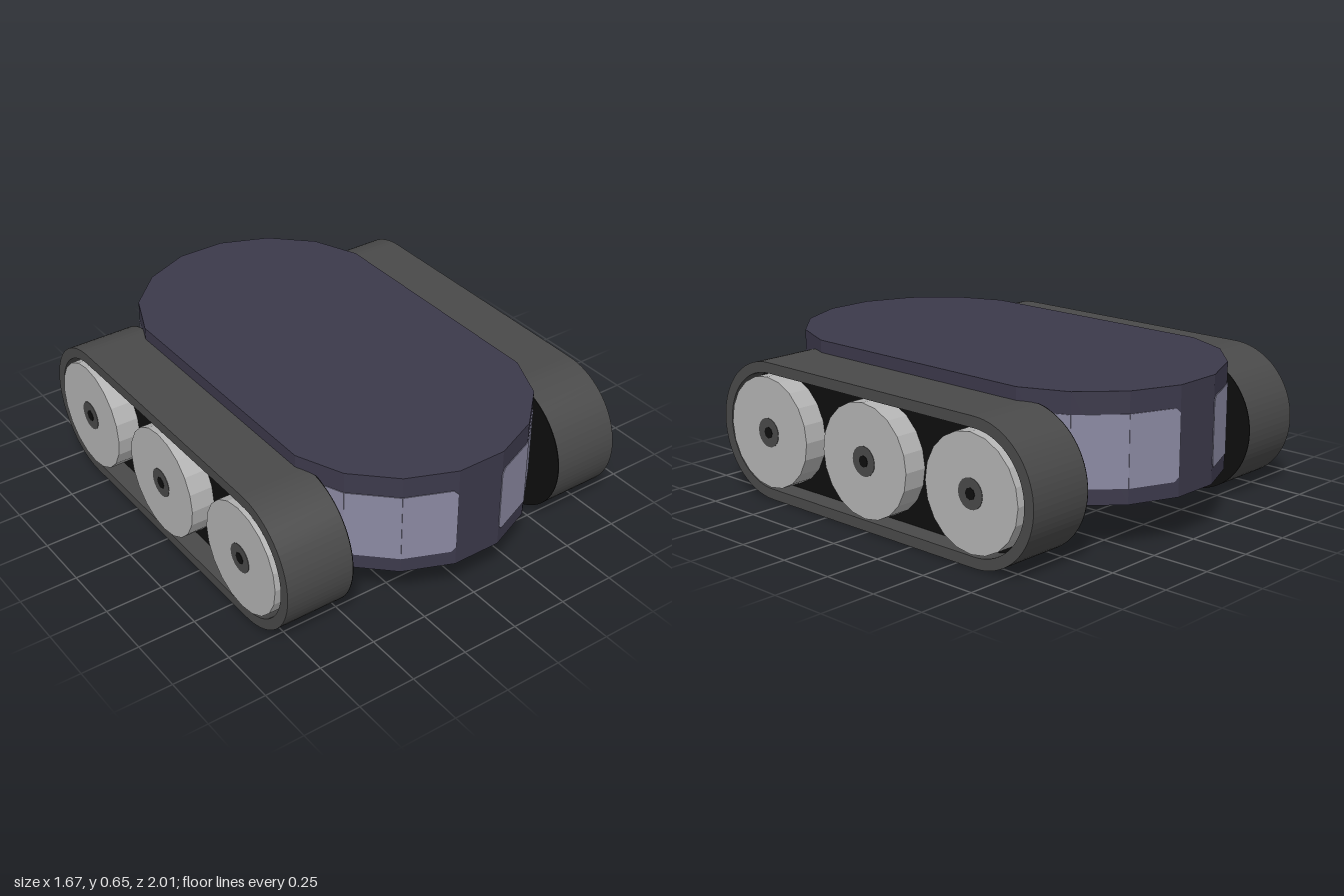
import * as THREE from 'three';

const mat = (name, color) => {
  const m = new THREE.MeshStandardMaterial({ color });
  m.name = name;
  return m;
};

export function createModel() {
  const hullPaint = mat('dark violet', 0x3c394b);
  const glass = mat('pale violet', 0x8b89a2);
  const rubber = mat('dark grey', 0x4a4a4a);
  const metal = mat('light grey', 0xb4b4b4);
  const black = mat('black', 0x0e0e0e);

  const model = new THREE.Group();
  model.name = 'trackedVehicle';

  const add = (parent, name, geometry, material) => {
    const mesh = new THREE.Mesh(geometry, material);
    mesh.name = name;
    parent.add(mesh);
    return mesh;
  };
  const extrude = (shape, depth) =>
    new THREE.ExtrudeGeometry(shape, { depth, bevelEnabled: false, curveSegments: 18 });

  // Front half of the hull outline, as [x, z] from right to left
  const quarter = [[0.555, 0.56], [0.47, 0.76], [0.31, 0.915], [0.107, 1]];
  const half = [...quarter.map(([x, z]) => [-x, z]), ...[...quarter].reverse()];
  const outline = [...half, ...half.map(([x, z]) => [-x, -z])];

  // Hull: faceted oval slab
  const hull = extrude(new THREE.Shape(outline.map(([x, z]) => new THREE.Vector2(x, -z))), 0.45);
  hull.rotateX(-Math.PI / 2).translate(0, 0.2, 0);
  add(model, 'hull', hull, hullPaint);

  // One window pane per facet, with clipped corners at the end near the middle
  const pane = (width, clipStart, clipEnd) => {
    const y0 = 0.265, y1 = 0.56, s = clipStart ? 0.02 : 0, e = clipEnd ? 0.02 : 0;
    const points = [
      [s, y0], [width - e, y0], [width, y0 + e], [width, y1 - e],
      [width - e, y1], [s, y1], [0, y1 - s], [0, y0 + s],
    ];
    const unique = points.filter(([x, y], i) => {
      const [px, py] = points[(i + points.length - 1) % points.length];
      return x !== px || y !== py;
    });
    return extrude(new THREE.Shape(unique.map(([x, y]) => new THREE.Vector2(x, y))), 0.003);
  };
  for (const end of ['front', 'back']) {
    const windows = new THREE.Group();
    windows.name = end + 'Windows';
    windows.rotation.y = end === 'front' ? 0 : Math.PI;
    for (const i of [0, 1, 2, 4, 5, 6]) {
      const [ax, az] = half[i], [bx, bz] = half[i + 1];
      const geometry = pane(Math.hypot(bx - ax, bz - az), i === 4, i === 2);
      const mesh = add(windows, 'windowPane', geometry, glass);
      mesh.position.set(ax, 0, az);
      mesh.rotation.y = Math.atan2(az - bz, bx - ax);
    }
    model.add(windows);
  }

  // Stadium outline for the track, running along z once turned
  const cy = 0.298, reach = 0.592;
  const stadium = (r, Type = THREE.Shape) => {
    const s = new Type();
    s.moveTo(-reach, cy - r);
    s.lineTo(reach, cy - r);
    s.absarc(reach, cy, r, -Math.PI / 2, Math.PI / 2, false);
    s.lineTo(-reach, cy + r);
    s.absarc(-reach, cy, r, Math.PI / 2, Math.PI * 1.5, false);
    return s;
  };
  const slab = (shape, x0, x1) => extrude(shape, x1 - x0).rotateY(Math.PI / 2).translate(x0, 0, 0);
  const disc = (r, x0, x1, sides) =>
    new THREE.CylinderGeometry(r, r, x1 - x0, sides).toNonIndexed()
      .rotateZ(-Math.PI / 2).translate((x0 + x1) / 2, 0, 0);

  const beltShape = stadium(0.298);
  beltShape.holes.push(stadium(0.252, THREE.Path));
  const belt = slab(beltShape, 0.522, 0.82);
  const core = slab(stadium(0.252), 0.522, 0.73);
  const innerCover = slab(stadium(0.298), 0.518, 0.522);
  const wheelGeometry = disc(0.24, 0.72, 0.832, 20);
  wheelGeometry.computeVertexNormals();
  const hubGeometry = disc(0.063, 0.832, 0.834, 20);
  const axleGeometry = disc(0.025, 0.834, 0.836, 8);

  // Each track carries three wheels; the right one is the left turned around
  for (const side of ['left', 'right']) {
    const track = new THREE.Group();
    track.name = side + 'Track';
    track.rotation.y = side === 'left' ? 0 : Math.PI;
    add(track, 'belt', belt, rubber);
    add(track, 'trackCore', core, black);
    add(track, 'innerCover', innerCover, black);
    for (const z of [-0.585, 0, 0.585]) {
      const wheel = new THREE.Group();
      wheel.name = 'wheel';
      wheel.position.set(0, cy, z);
      add(wheel, 'wheelDisc', wheelGeometry, metal);
      add(wheel, 'hub', hubGeometry, rubber);
      add(wheel, 'axleHole', axleGeometry, black);
      track.add(wheel);
    }
    model.add(track);
  }
  return model;
}
